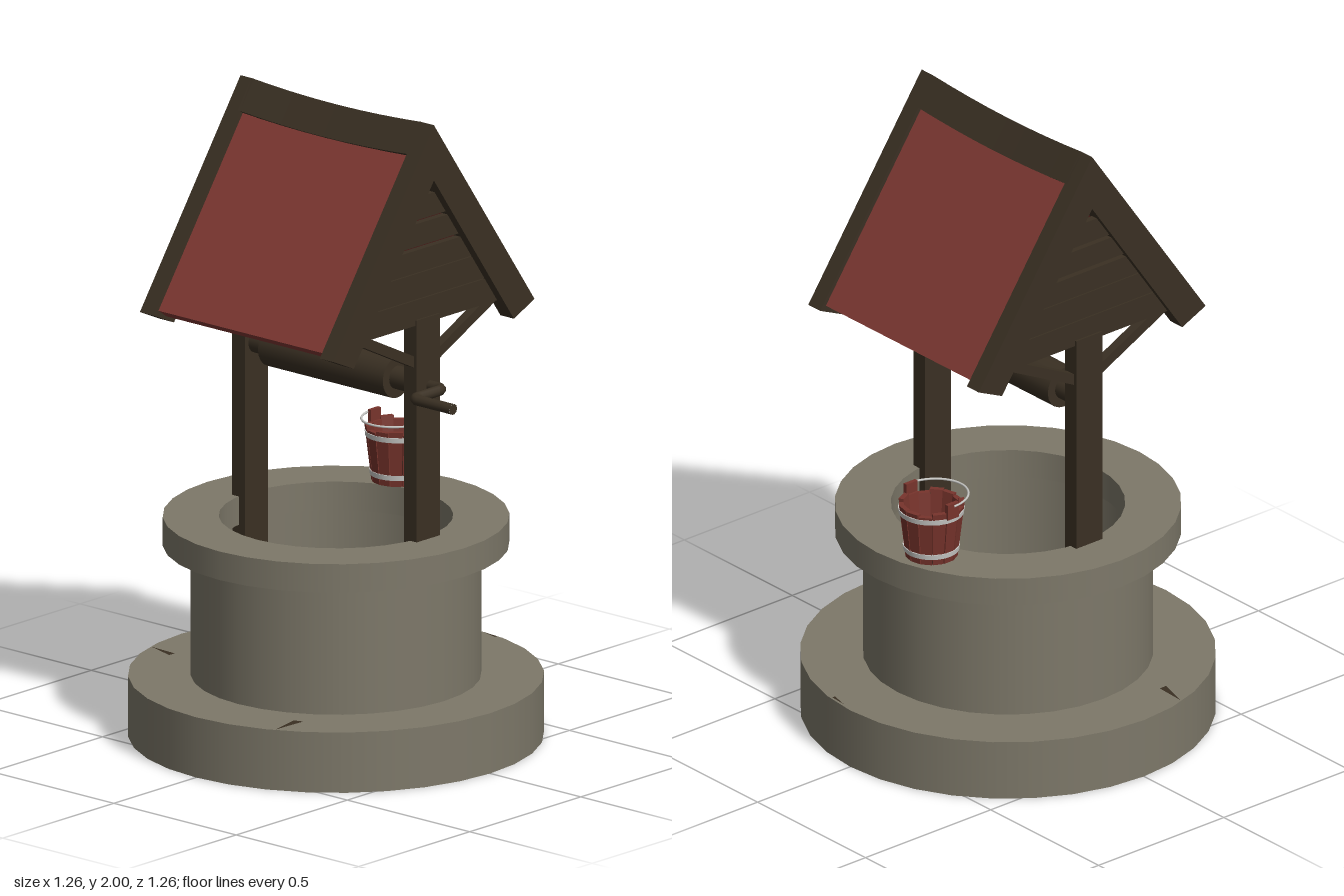
import * as THREE from 'three';
import { mergeGeometries } from 'three/addons/utils/BufferGeometryUtils.js';

const mat = (name, color, side = THREE.FrontSide) => {
  const m = new THREE.MeshStandardMaterial({ color, side });
  m.name = name;
  return m;
};

export function createModel() {
  const stone = mat('stone', 0x7d7869);
  const wood = mat('dark wood', 0x3a3023);
  const roofRed = mat('roof red', 0x823a34);
  const bucketRed = mat('bucket red', 0x78342c);
  const metal = mat('pale metal', 0xc9c9c6);
  const black = mat('well darkness', 0x050505, THREE.DoubleSide);

  const model = new THREE.Group();
  model.name = 'well';
  const add = (name, geo, material, x = 0, y = 0, z = 0, parent = model) => {
    const m = new THREE.Mesh(geo, material);
    m.name = name;
    m.position.set(x, y, z);
    parent.add(m);
    return m;
  };
  // Lathe with a hard edge at every profile point
  const sharpLathe = (pts, seg) => mergeGeometries(pts.slice(1).map((p, i) =>
    new THREE.LatheGeometry([new THREE.Vector2(...pts[i]), new THREE.Vector2(...p)], seg)));
  // Inverted V, extruded from z0 to z1
  const chevron = (top, inner, outerEnd, innerEnd, z0, z1, steps = 1) => {
    const pts = [[0, top], [-outerEnd[0], outerEnd[1]], [-innerEnd[0], innerEnd[1]],
      [0, inner], innerEnd, outerEnd];
    const g = new THREE.ExtrudeGeometry(new THREE.Shape(pts.map(p => new THREE.Vector2(...p))),
      { depth: z1 - z0, steps, bevelEnabled: false });
    return g.translate(0, 0, z0);
  };

  // Stone shaft: stepped outside, rim, open lining
  add('stoneWall', sharpLathe([[0.63, 0], [0.63, 0.19], [0.44, 0.19], [0.44, 0.6], [0.525, 0.6],
    [0.525, 0.69], [0.355, 0.69], [0.355, 0.6], [0.38, 0.6], [0.38, 0.04]], 32), stone);
  // Hollow underside of the base
  add('baseUnderside', sharpLathe([[0.38, 0.18], [0.622, 0.18], [0.622, 0], [0.63, 0]], 32), stone);
  add('wellBottom', new THREE.CircleGeometry(0.38, 32).rotateX(-Math.PI / 2), black, 0, 0.04, 0);

  // Small dark cracks on the base ledge
  [[[-0.17, -0.6], [-0.2, -0.5], [-0.175, -0.5]],
    [[-0.57, 0.27], [-0.45, 0.275], [-0.46, 0.245]],
    [[0.62, 0.04], [0.605, 0.1], [0.615, 0.1]]].forEach(tri => {
    const s = new THREE.Shape(tri.map(([x, z]) => new THREE.Vector2(x, -z)));
    add('crack', new THREE.ShapeGeometry(s).rotateX(-Math.PI / 2), wood, 0, 0.192, 0);
  });

  // Posts, braces, gable slats and barge boards at both ends
  for (const s of [1, -1]) {
    const end = new THREE.Group();
    end.name = s > 0 ? 'frontFrame' : 'backFrame';
    model.add(end);
    add('post', new THREE.BoxGeometry(0.104, 1.39, 0.052), wood, 0, 0.695, s * 0.351, end);
    for (const side of [1, -1]) {
      const brace = add('brace', new THREE.BoxGeometry(0.3, 0.032, 0.03), wood,
        side * 0.175, 1.318, s * 0.351, end);
      brace.rotation.z = side * 0.46;
    }
    for (let i = 0; i < 5; i++) {
      const y0 = 1.372 + i * 0.083, y1 = y0 + (i < 2 ? 0.08 : 0.071);
      const w0 = (1.85 - y0) / 1.43, w1 = (1.85 - y1) / 1.43;
      const shape = new THREE.Shape([[-w0, y0], [w0, y0], [w1, y1], [-w1, y1]]
        .map(p => new THREE.Vector2(...p)));
      add('gableSlat', new THREE.ExtrudeGeometry(shape, { depth: 0.022, bevelEnabled: false }),
        wood, 0, 0, s * 0.36 - 0.011, end);
    }
    const [z0, z1] = s > 0 ? [0.345, 0.4] : [-0.39, -0.335];
    add('bargeBoards', chevron(2, 1.825, [0.453, 1.352], [0.36, 1.31], z0, z1), wood, 0, 0, 0, end);
  }

  // Roof panels and sagging ridge cap
  add('roof', chevron(1.975, 1.897, [0.43, 1.362], [0.393, 1.336], -0.337, 0.347), roofRed);
  const ridge = chevron(2, 1.955, [0.062, 1.912], [0.045, 1.9], -0.345, 0.35, 8);
  const rp = ridge.attributes.position;
  for (let i = 0; i < rp.count; i++) {
    rp.setY(i, rp.getY(i) - 0.014 * Math.max(0, 1 - (rp.getZ(i) / 0.345) ** 2));
  }
  ridge.computeVertexNormals();
  add('ridgeCap', ridge, wood);

  // Windlass
  const rod = (r, len) => new THREE.CylinderGeometry(r, r, len, 20).rotateX(Math.PI / 2);
  add('windlassDrum', rod(0.065, 0.51), wood, 0, 1.175, -0.005);
  add('windlassAxle', rod(0.036, 0.7), wood, 0, 1.175, 0);
  const crank = new THREE.CurvePath();
  const P = (x, z) => new THREE.Vector3(x, 1.172, z);
  crank.add(new THREE.LineCurve3(P(0.008, 0.33), P(0.008, 0.405)));
  crank.add(new THREE.QuadraticBezierCurve3(P(0.008, 0.405), P(0.008, 0.433), P(-0.02, 0.433)));
  crank.add(new THREE.LineCurve3(P(-0.02, 0.433), P(-0.105, 0.433)));
  crank.add(new THREE.QuadraticBezierCurve3(P(-0.105, 0.433), P(-0.133, 0.433), P(-0.133, 0.46)));
  crank.add(new THREE.LineCurve3(P(-0.133, 0.46), P(-0.133, 0.6)));
  add('crank', new THREE.TubeGeometry(crank, 48, 0.017, 10), wood);
  add('crankEnd', new THREE.CircleGeometry(0.017, 10), wood, -0.133, 1.172, 0.6);

  // Bucket
  const bucket = new THREE.Group();
  bucket.name = 'bucket';
  bucket.position.set(0.405, 0.69, -0.115);
  model.add(bucket);
  const N = 14;
  const rAt = y => 0.08 + y * 0.115;
  add('bucketCore', sharpLathe([[0, 0.004], [0.076, 0.004], [0.092, 0.165], [0.084, 0.165],
    [0.07, 0.03]], 28), wood, 0, 0, 0, bucket);
  add('bucketFloor', new THREE.CircleGeometry(0.072, 28).rotateX(-Math.PI / 2), bucketRed,
    0, 0.03, 0, bucket);
  for (let i = 0; i < N; i++) {
    const h = 0.172 + 0.006 * Math.sin(i * 2.3);
    const stave = new THREE.BoxGeometry(1, h, 0.016);
    const p = stave.attributes.position;
    for (let k = 0; k < p.count; k++) {
      const y = p.getY(k) + h / 2, r = rAt(y);
      p.setXYZ(k, p.getX(k) * (r * 2 * Math.PI / N - 0.003), y, p.getZ(k) + r - 0.009);
    }
    stave.computeVertexNormals();
    add('stave', stave, bucketRed, 0, 0, 0, bucket).rotation.y = (i / N) * Math.PI * 2;
  }
  for (const y of [0.02, 0.143]) {
    const a = rAt(y) + 0.003, b = rAt(y + 0.016) + 0.003;
    add('bucketBand', sharpLathe([[a - 0.008, y], [a, y], [b, y + 0.016], [b - 0.008, y + 0.016]], 28),
      metal, 0, 0, 0, bucket);
  }
  for (const s of [1, -1]) {
    add('bucketEar', new THREE.BoxGeometry(0.045, 0.05, 0.013), bucketRed, 0, 0.181, s * 0.096, bucket);
  }
  // Handle folded down to one side
  const handle = add('bucketHandle', new THREE.TorusGeometry(0.105, 0.0035, 6, 24, Math.PI), metal,
    0, 0.198, 0, bucket);
  handle.geometry.rotateZ(Math.PI / 2).rotateX(Math.PI / 2).scale(1.12, 1, 1);

  return model;
}
